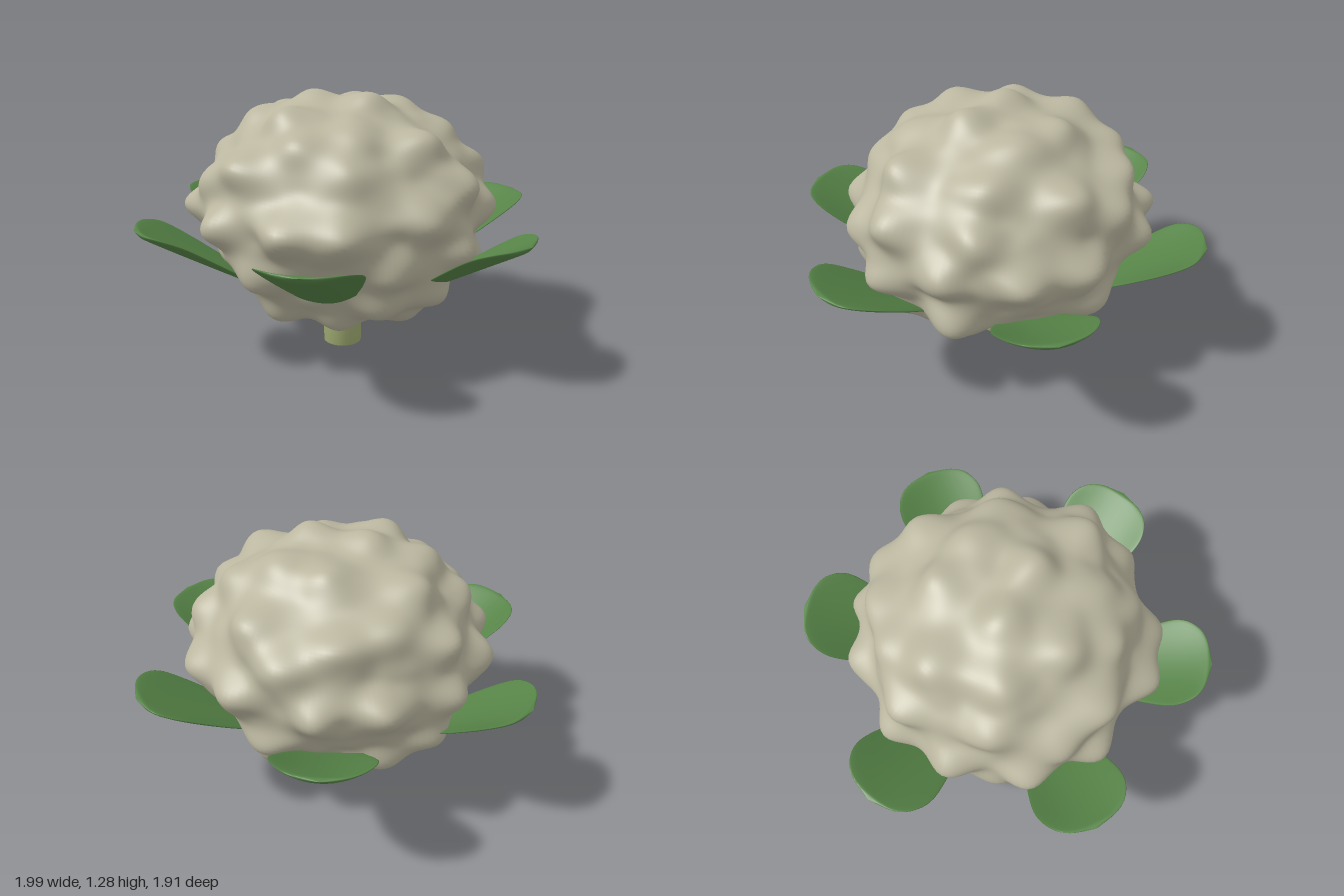
import * as THREE from 'three';
import { mergeVertices } from 'three/addons/utils/BufferGeometryUtils.js';

const curd = new THREE.MeshStandardMaterial({ color: 0xbab69f });
curd.name = 'cream curd';
const leafGreen = new THREE.MeshStandardMaterial({ color: 0x568347 });
leafGreen.name = 'leaf green';
const stalkGreen = new THREE.MeshStandardMaterial({ color: 0xa0ab72 });
stalkGreen.name = 'pale stalk green';

const HEAD = { y: 0.715, wide: 0.7, high: 0.53 };

// Tips of the most prominent florets; the others fill the gaps between them
const mainFlorets = [
  [0.77, 0.8, 0.13], [-0.78, 0.72, -0.03], [-0.1, 0.72, 0.77], [0, 0.75, -0.74],
  [0.18, 1.29, 0], [-0.2, 1.26, -0.28], [0.12, 0.13, 0.02], [-0.25, 0.17, 0],
  [0.53, 1.1, 0], [-0.45, 1.18, 0], [-0.68, 0.97, 0], [-0.42, 0.25, 0],
  [0.45, 0.22, 0], [0.6, 0.42, 0], [0, 0.24, 0.42], [0, 0.28, -0.55],
  [0, 1.22, 0.37], [0, 0.98, 0.62], [0, 1.07, -0.6], [0.33, 0.75, 0.67],
  [0.58, 0.75, 0.55], [-0.45, 0.75, 0.6], [-0.68, 0.75, 0.3], [-0.6, 0.75, -0.38],
  [-0.42, 0.75, -0.62], [0.32, 0.75, -0.68], [0.62, 0.75, -0.45],
];
// Hollows where four of the leaves come out
const hollows = [[-0.18, 0.46, 0.55], [0.36, 0.47, 0.48], [0.18, 0.46, -0.55], [-0.36, 0.47, -0.48]];

function seeded(seed) {
  let s = seed;
  return () => (s = (s * 16807) % 2147483647) / 2147483647;
}

// Bump of height h in the direction of a point on the head
const bumpAt = (h) => ([x, y, z]) => ({
  p: new THREE.Vector3(x / HEAD.wide, (y - HEAD.y) / HEAD.high, z / HEAD.wide).normalize(), h,
});

// Adds bumps at random on the unit sphere, keeping a gap between them
function fillBumps(bumps, gap, tries, low, high, rand) {
  for (let i = 0; i < tries; i++) {
    const y = 2 * rand() - 1, a = rand() * Math.PI * 2, r = Math.sqrt(1 - y * y);
    const p = new THREE.Vector3(r * Math.cos(a), y, r * Math.sin(a));
    if (bumps.every((b) => b.p.distanceTo(p) > gap)) bumps.push({ p, h: low + (high - low) * rand() });
  }
  return bumps;
}

// Sum of smooth bumps at a direction
function bumpHeight(dir, bumps, radius) {
  return bumps.reduce((sum, { p, h }) => sum + h * Math.exp(-dir.distanceToSquared(p) / (radius * radius)), 0);
}

function headGeometry() {
  const rand = seeded(4711);
  const fixed = [...mainFlorets.map(bumpAt(0.95)), ...hollows.map(bumpAt(-0.2))];
  const large = fillBumps(fixed, 0.36, 1500, 0.5, 1, rand);
  const small = fillBumps([], 0.14, 4000, -1, 1, rand);
  const geo = new THREE.SphereGeometry(1, 168, 110);
  const pos = geo.attributes.position, d = new THREE.Vector3();
  for (let i = 0; i < pos.count; i++) {
    d.fromBufferAttribute(pos, i).normalize();
    const flat = Math.hypot(d.x, d.z);
    // florets, finer craggy bumps, and a hollow around the stalk
    const full = Math.pow(Math.pow(flat, 2.1) + Math.pow(Math.abs(d.y), 2.1), -1 / 2.1);
    const dip = d.y < 0 ? 0.1 * Math.exp(-Math.pow(flat / 0.2, 2)) : 0;
    const k = full * (0.93 + 0.155 * bumpHeight(d, large, 0.18)
      + 0.024 * bumpHeight(d, small, 0.1) - dip);
    pos.setXYZ(i, d.x * k * HEAD.wide, HEAD.y + d.y * k * HEAD.high, d.z * k * HEAD.wide);
  }
  return smooth(geo);
}

// Welds the vertices so the shading runs on over seams and edges
function smooth(geo) {
  geo.deleteAttribute('uv');
  geo.deleteAttribute('normal');
  const welded = mergeVertices(geo, 1e-4);
  welded.computeVertexNormals();
  return welded;
}

// Leaf: lens-shaped cross-sections along +x, cupped upward to a level rim
function leafGeometry() {
  const outline = new THREE.SplineCurve([
    [0.06, 0.05], [0.3, 0.09], [0.55, 0.15], [0.7, 0.2], [0.83, 0.224],
    [0.92, 0.19], [0.975, 0.12], [1.005, 0.002],
  ].map(([x, w]) => new THREE.Vector2(x, w)));
  const rows = 36, ring = 32, verts = [], index = [];
  for (let i = 0; i <= rows; i++) {
    const { x, y: w } = outline.getPoint(i / rows);
    const thick = 0.016 * Math.min(1, w / 0.1);
    for (let j = 0; j < ring; j++) {
      const a = (j / ring) * Math.PI * 2, z = w * Math.cos(a);
      const mid = Math.min(0.704, 0.155 + 0.58 * (x - 0.06) + 1.2 * z * z);
      verts.push(x, mid + thick * Math.sin(a), z);
      if (i < rows) {
        const n = (j + 1) % ring, p = i * ring, q = p + ring;
        index.push(p + j, q + j, p + n, q + j, q + n, p + n);
      }
    }
  }
  const geo = new THREE.BufferGeometry();
  geo.setAttribute('position', new THREE.Float32BufferAttribute(verts, 3));
  geo.setIndex(index);
  geo.computeVertexNormals();
  return geo;
}

export function createModel() {
  const model = new THREE.Group();
  model.name = 'cauliflower';

  const head = new THREE.Mesh(headGeometry(), curd);
  head.name = 'head';
  model.add(head);

  const stalk = new THREE.Mesh(smooth(new THREE.CylinderGeometry(0.095, 0.095, 0.4, 32)), stalkGreen);
  stalk.name = 'stalk';
  stalk.position.y = 0.2;
  model.add(stalk);

  // Three opposite pairs of leaves around the stalk
  const leaves = new THREE.Group();
  leaves.name = 'leaves';
  const shape = leafGeometry();
  for (const angle of [-8, 52.5, 110]) {
    for (const turn of [0, 180]) {
      const leaf = new THREE.Mesh(shape, leafGreen);
      leaf.name = 'leaf' + (leaves.children.length + 1);
      leaf.rotation.y = -THREE.MathUtils.degToRad(angle + turn);
      leaves.add(leaf);
    }
  }
  model.add(leaves);
  return model;
}
